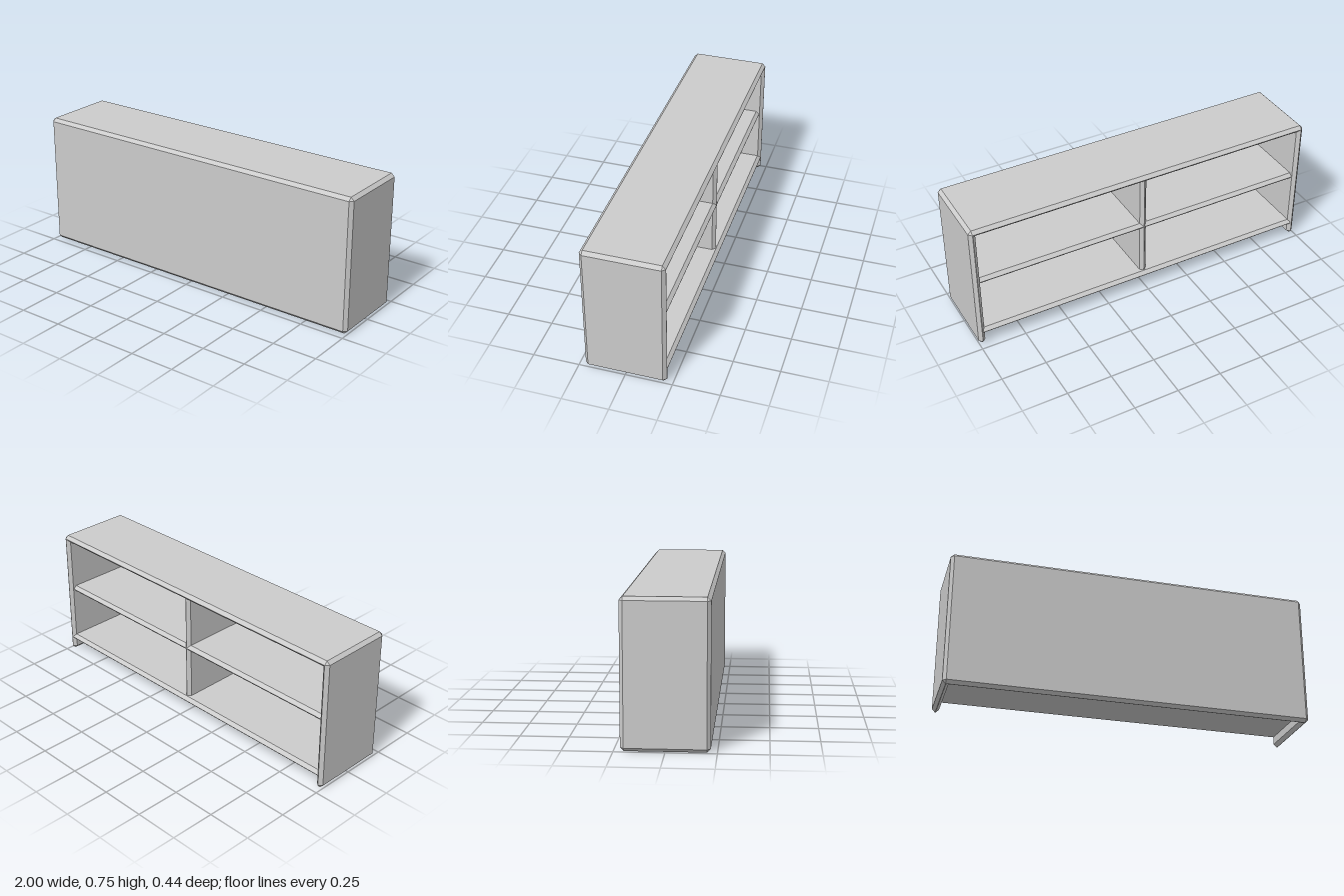
import * as THREE from 'three';
import { ConvexGeometry } from 'three/addons/geometries/ConvexGeometry.js';

const W = 2, H = 0.75, D = 0.436; // overall size
const T = 0.038, BEVEL = 0.018;   // board thickness and chamfer

// Board with every edge and corner chamfered
function chamferedBox(w, h, d, b) {
  const half = [w / 2, h / 2, d / 2];
  const points = [];
  for (const sx of [-1, 1]) for (const sy of [-1, 1]) for (const sz of [-1, 1]) {
    for (let axis = 0; axis < 3; axis++) {
      const p = half.map((v, i) => (i === axis ? v : v - b));
      points.push(new THREE.Vector3(p[0] * sx, p[1] * sy, p[2] * sz));
    }
  }
  return new ConvexGeometry(points);
}

export function createModel() {
  const group = new THREE.Group();
  group.name = 'shelfCounter';
  const material = new THREE.MeshStandardMaterial({ color: 0xcccccc, flatShading: true });

  const addBoard = (name, [w, h, d], [x, y, z]) => {
    const mesh = new THREE.Mesh(chamferedBox(w, h, d, BEVEL), material);
    mesh.name = name;
    mesh.position.set(x, y, z);
    group.add(mesh);
  };

  // Outer case: closed front, open back
  addBoard('frontPanel', [W, H, T], [0, H / 2, D / 2 - T / 2]);
  addBoard('topBoard', [W, T, D], [0, H - T / 2, 0]);
  addBoard('leftSide', [T, H, D], [W / 2 - T / 2, H / 2, 0]);
  addBoard('rightSide', [T, H, D], [-W / 2 + T / 2, H / 2, 0]);

  // Raised bottom board
  const bottomY = 0.08;
  addBoard('bottomBoard', [W - 0.02, T, D - 0.002], [0, bottomY, 0]);

  // Inner boards, set back slightly from the open side
  const back = -0.197, front = 0.2;
  const depth = front - back, z = (front + back) / 2;
  const low = bottomY, high = H - T / 2;
  addBoard('divider', [T, high - low, depth], [0, (low + high) / 2, z]);
  addBoard('middleShelf', [W - T, T, depth], [0, 0.403, z]);

  return group;
}
